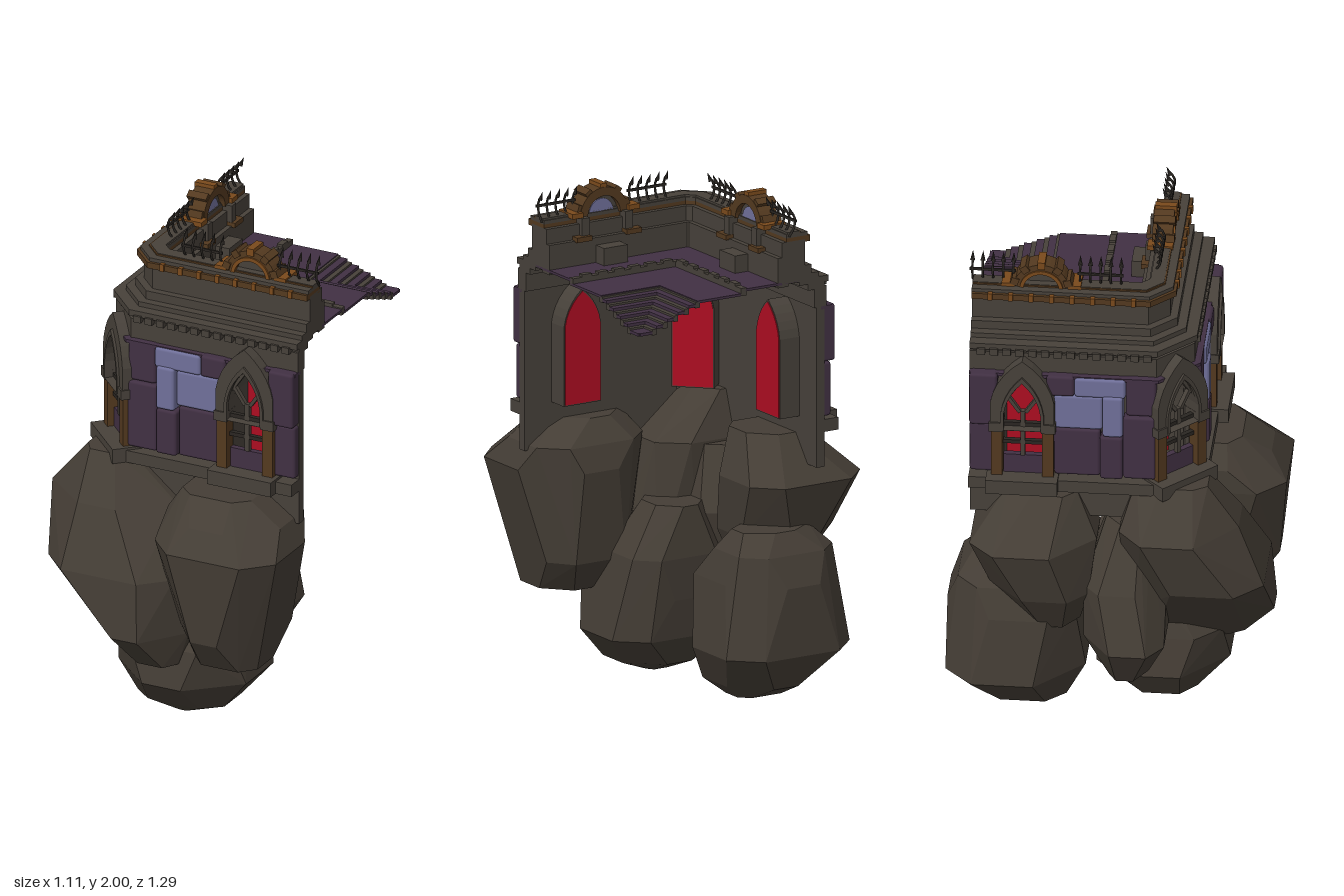
import * as THREE from 'three';
import { ConvexGeometry } from 'three/addons/geometries/ConvexGeometry.js';
import { RoundedBoxGeometry } from 'three/addons/geometries/RoundedBoxGeometry.js';

const mat = (name, color) => Object.assign(new THREE.MeshStandardMaterial({ color }), { name });
const M = {
  rock: mat('rock', 0x443d35), stone: mat('stone', 0x47413a), purple: mat('purple stone', 0x413043),
  lilac: mat('lilac stone', 0x70709a), red: mat('red glass', 0xac0d21), wood: mat('brown wood', 0x53391f),
  trim: mat('bronze trim', 0x7a4a1c), iron: mat('dark iron', 0x2a2622),
};
const END = 0.542; // where both wings are cut off

function add(parent, name, geometry, material, x = 0, y = 0, z = 0) {
  const mesh = new THREE.Mesh(geometry, material);
  mesh.name = name;
  mesh.position.set(x, y, z);
  parent.add(mesh);
  return mesh;
}
// Box given by its limits
function box(parent, name, material, x0, x1, y0, y1, z0, z1) {
  return add(parent, name, new THREE.BoxGeometry(x1 - x0, y1 - y0, z1 - z0), material,
    (x0 + x1) / 2, (y0 + y1) / 2, (z0 + z1) / 2);
}

// Course that follows both wings and the cut corner, between two offsets from the centre
function band(parent, name, material, dIn, dOut, y0, y1) {
  const corner = d => Math.min(0.52 + (d - 0.33) * Math.SQRT2, 2 * d);
  const line = d => [[END, d], [d - corner(d), d], [-d, corner(d) - d], [-d, -END]];
  const pts = [...line(dOut), ...line(dIn).reverse()].map(([x, z]) => new THREE.Vector2(x, -z));
  const g = new THREE.ExtrudeGeometry(new THREE.Shape(pts), { depth: y1 - y0, bevelEnabled: false });
  return add(parent, name, g.rotateX(-Math.PI / 2), material, 0, y0, 0);
}

// Pointed arch outline
function arch(Type, cx, w, y0, spring, top) {
  const p = new Type(), h = w / 2;
  p.moveTo(cx - h, y0);
  p.lineTo(cx + h, y0);
  p.lineTo(cx + h, spring);
  p.quadraticCurveTo(cx + h * 0.85, spring + (top - spring) * 0.6, cx, top);
  p.quadraticCurveTo(cx - h * 0.85, spring + (top - spring) * 0.6, cx - h, spring);
  p.closePath();
  return p;
}
const extrude = (shape, depth) => new THREE.ExtrudeGeometry(shape, { depth, bevelEnabled: false, curveSegments: 5 });
function pierced(outer, hole, depth) {
  outer.holes.push(hole);
  return extrude(outer, depth);
}

// Wall panel with a window opening
function wallPanel(parent, x0, x1, cx) {
  const s = new THREE.Shape([[x0, 0.92], [x1, 0.92], [x1, 1.6], [x0, 1.6]].map(p => new THREE.Vector2(...p)));
  add(parent, 'wall', pierced(s, arch(THREE.Path, cx, 0.15, 1.11, 1.42, 1.55), 0.035), M.stone, 0, 0, 0.28);
}

// Gothic window: niche, glass, frame, posts and tracery
function windowUnit(parent, cx) {
  const g = new THREE.Group();
  g.name = 'window';
  g.position.x = cx;
  parent.add(g);
  add(g, 'niche', pierced(arch(THREE.Shape, 0, 0.17, 1.1, 1.42, 1.565),
    arch(THREE.Path, 0, 0.15, 1.11, 1.42, 1.55), 0.13), M.stone, 0, 0, 0.19);
  add(g, 'glass', extrude(arch(THREE.Shape, 0, 0.162, 1.105, 1.42, 1.555), 0.008), M.red, 0, 0, 0.187);
  add(g, 'archFrame', pierced(arch(THREE.Shape, 0, 0.25, 1.33, 1.45, 1.64),
    arch(THREE.Path, 0, 0.15, 1.331, 1.4, 1.55), 0.065), M.stone, 0, 0, 0.31);
  add(g, 'archRib', pierced(arch(THREE.Shape, 0, 0.17, 1.33, 1.4, 1.57),
    arch(THREE.Path, 0, 0.145, 1.331, 1.4, 1.545), 0.02), M.stone, 0, 0, 0.365);
  for (const s of [-1, 1]) {
    box(g, 'post', M.wood, s * 0.1 - 0.022, s * 0.1 + 0.022, 1.11, 1.33, 0.31, 0.372);
    box(g, 'postCap', M.stone, s * 0.102 - 0.028, s * 0.102 + 0.028, 1.32, 1.36, 0.3, 0.382);
    // Small lancets under a diamond light
    for (const t of [-1, 1]) {
      const bar = box(g, 'tracery', M.stone, -0.007, 0.007, -0.05, 0.05, 0.33, 0.35);
      bar.position.set(s * 0.04, t > 0 ? 1.49 : 1.435, bar.position.z);
      bar.rotation.z = s * t * 0.6;
    }
  }
  box(g, 'mullion', M.stone, -0.009, 0.009, 1.2, 1.4, 0.33, 0.352);
  for (const y of [1.26, 1.34]) box(g, 'crossBar', M.iron, -0.076, 0.076, y - 0.008, y + 0.008, 0.33, 0.35);
  box(g, 'lowerPanel', M.purple, -0.076, 0.076, 1.11, 1.2, 0.32, 0.345);
  box(g, 'sill', M.stone, -0.14, 0.14, 1.06, 1.12, 0.3, 0.42);
}

// Crest on the parapet: half ring with raised blocks
function crest(parent, cx) {
  const g = new THREE.Group();
  g.name = 'crest';
  g.position.set(cx, 1.87, 0);
  parent.add(g);
  const half = (r0, r1, depth) => {
    const s = new THREE.Shape();
    s.absarc(0, 0, r1, 0, Math.PI, false);
    if (r0) s.absarc(0, 0, r0, Math.PI, 0, true);
    return new THREE.ExtrudeGeometry(s, { depth, bevelEnabled: false, curveSegments: 10 });
  };
  add(g, 'crestRing', half(0.075, 0.11, 0.08), M.wood, 0, 0, 0.125);
  add(g, 'crestRim', half(0.07, 0.085, 0.02), M.trim, 0, 0, 0.192);
  add(g, 'crestPanel', half(0, 0.08, 0.02), M.stone, 0, 0, 0.15);
  add(g, 'crestLight', half(0, 0.055, 0.008), M.lilac, 0, 0.005, 0.145);
  for (let i = 0; i < 5; i++) {
    const a = Math.PI * (0.1 + 0.2 * i);
    add(g, 'crestBlock', new THREE.BoxGeometry(0.03, 0.03, 0.085), i === 2 ? M.trim : M.wood,
      Math.cos(a) * 0.109, Math.sin(a) * 0.109, 0.17).rotation.z = a - Math.PI / 2;
  }
  for (const s of [-1, 1]) {
    box(g, 'crestFoot', M.trim, s * 0.13 - 0.025, s * 0.13 + 0.025, 0.005, 0.025, 0.11, 0.21);
    box(g, 'crestLeg', M.stone, s * 0.1 - 0.018, s * 0.1 + 0.018, -0.08, 0.005, 0.1, 0.14);
    box(g, 'crestBase', M.wood, s * 0.115 - 0.035, s * 0.115 + 0.035, -0.085, -0.065, 0.085, 0.14);
  }
  box(g, 'innerStep', M.stone, -0.055, 0.055, -0.19, -0.11, 0.04, 0.11);
}

// Railing of curved spikes between two positions
function railing(parent, a, b) {
  const curve = new THREE.CatmullRomCurve3([[0.15, 1.87], [0.175, 1.91], [0.175, 1.95], [0.155, 1.975]]
    .map(([z, y]) => new THREE.Vector3(0, y, z)));
  const n = 5;
  for (let i = 0; i < n; i++) {
    const x = a + (b - a) * i / (n - 1);
    add(parent, 'spike', new THREE.TubeGeometry(curve, 6, 0.005, 5), M.iron, x);
    add(parent, 'spikeTip', new THREE.ConeGeometry(0.01, 0.04, 4), M.iron, x, 1.98, 0.153).rotation.x = -0.4;
  }
  box(parent, 'rail', M.iron, Math.min(a, b) - 0.01, Math.max(a, b) + 0.01, 1.928, 1.938, 0.172, 0.18);
}

// Facing stones: x0, x1, y0, y1, colour
const STONES = [
  [-0.19, -0.07, 1.4, 1.57, 'purple'], [-0.19, -0.06, 1.12, 1.4, 'purple'], [-0.06, 0.03, 1.12, 1.31, 'purple'],
  [0.03, 0.21, 1.12, 1.33, 'purple'], [0.13, 0.24, 1.48, 1.57, 'purple'], [0.43, 0.54, 1.34, 1.57, 'purple'],
  [0.43, 0.54, 1.12, 1.34, 'purple'], [-0.07, 0.13, 1.48, 1.565, 'lilac'], [-0.06, 0.02, 1.31, 1.49, 'lilac'],
  [0.02, 0.21, 1.33, 1.48, 'lilac'],
];

// One straight wing; side -1 mirrors positions along its length
function wing(side) {
  const g = new THREE.Group();
  g.name = side > 0 ? 'frontWing' : 'sideWing';
  const span = (a, b) => side > 0 ? [a, b] : [-b, -a];
  wallPanel(g, ...span(-0.18, END), side * 0.332);
  windowUnit(g, side * 0.332);
  crest(g, side * 0.273);
  railing(g, side * -0.035, side * 0.125);
  railing(g, side * 0.385, side * 0.545);
  STONES.forEach(([a, b, y0, y1, c], i) => {
    const depth = 0.045 + 0.01 * (i % 3);
    add(g, 'facingStone', new RoundedBoxGeometry(b - a, y1 - y0, depth, 1, 0.012), M[c],
      side * (a + b) / 2, (y0 + y1) / 2, 0.305 + depth / 2);
  });
  for (let s = -0.17; s < 0.5; s += 0.05) box(g, 'dentil', M.stone, ...span(s, s + 0.032), 1.645, 1.672, 0.31, 0.345);
  for (let s = -0.1; s < 0.52; s += 0.08) box(g, 'stud', M.trim, ...span(s, s + 0.018), 1.84, 1.87, 0.235, 0.256);
  for (let s = 0.08; s < 0.5; s += 0.075) box(g, 'stepBlock', M.stone, ...span(s, s + 0.045), 1.67, 1.705, -0.07, -0.045);
  return g;
}

// Chunky boulder: the hull of chamfered cross-sections [y, x0, x1, z0, z1]
function boulder(parent, levels) {
  const pts = [];
  levels.forEach(([y, x0, x1, z0, z1], i) => {
    for (let k = 0; k < 8; k++) {
      const c = 0.3 + 0.3 * ((i + (k >> 1)) % 2); // corners cut more and less in turn
      const sx = k & 4 ? 1 : -1, sz = k & 2 ? 1 : -1;
      const [u, v] = k & 1 ? [sx, sz * c] : [sx * c, sz];
      pts.push(new THREE.Vector3((x0 + x1 + u * (x1 - x0)) / 2, y, (z0 + z1 + v * (z1 - z0)) / 2));
    }
  });
  add(parent, 'boulder', new ConvexGeometry(pts), M.rock);
}

export function createModel() {
  const model = new THREE.Group();
  model.name = 'cornerTower';
  const tower = new THREE.Group();
  tower.name = 'tower';
  tower.position.set(-0.009, 0, -0.009);
  model.add(tower);

  // Wings and the cut corner between them
  const side = wing(-1);
  side.rotation.y = -Math.PI / 2;
  const corner = new THREE.Group();
  corner.name = 'cornerFace';
  corner.rotation.y = -Math.PI / 4;
  corner.position.set(-0.023, 0, 0.023);
  wallPanel(corner, -0.09, 0.09, 0);
  windowUnit(corner, 0);
  tower.add(wing(1), side, corner);

  // Courses from ledge to parapet
  band(tower, 'ledge', M.stone, 0.28, 0.38, 1.06, 1.11);
  band(tower, 'stoneCourse', M.purple, 0.3, 0.35, 1.555, 1.568);
  band(tower, 'frieze', M.stone, 0.27, 0.325, 1.565, 1.65);
  band(tower, 'cornice', M.stone, 0.2, 0.335, 1.665, 1.69);
  band(tower, 'corniceBase', M.stone, 0.24, 0.315, 1.64, 1.67);
  band(tower, 'corniceStep', M.stone, 0.15, 0.29, 1.69, 1.71);
  band(tower, 'corniceTop', M.stone, 0.12, 0.255, 1.71, 1.745);
  band(tower, 'parapet', M.stone, 0.12, 0.225, 1.68, 1.85);
  band(tower, 'parapetTrim', M.wood, 0.14, 0.25, 1.84, 1.865);
  band(tower, 'parapetCap', M.stone, 0.14, 0.238, 1.865, 1.88);
  band(tower, 'parapetRidge', M.stone, 0.145, 0.2, 1.88, 1.888);
  band(tower, 'ridgeLine', M.wood, 0.2, 0.206, 1.875, 1.886);
  band(tower, 'innerLedge', M.stone, 0.1, 0.15, 1.67, 1.79);

  // Thin roof terrace stepping down to the inner corner
  band(tower, 'terrace', M.purple, -0.05, 0.22, 1.68, 1.69);
  band(tower, 'terraceKerb', M.stone, -0.07, -0.045, 1.664, 1.695);
  band(tower, 'lowerTerrace', M.purple, -0.27, -0.05, 1.664, 1.674);
  [0.26, 0.31, 0.36, 0.41, 0.46].forEach((t, i) => {
    const y = 1.67 - i * 0.02;
    band(tower, 'stairEdge', M.stone, -t - 0.02, -t, y - 0.024, y);
    band(tower, 'stairTread', M.purple, i < 4 ? -t - 0.05 : -0.535, -t - 0.02, y - 0.02, y - 0.008);
  });

  // Boulders under the walls
  const rocks = new THREE.Group();
  rocks.name = 'boulders';
  model.add(rocks);
  boulder(rocks, [[1.09, -0.38, -0.2, 0.1, 0.38], [0.91, -0.53, 0.02, 0.04, 0.5],
    [0.66, -0.47, 0.08, 0.05, 0.6], [0.42, -0.26, 0.115, 0.08, 0.62], [0.28, -0.11, 0.07, 0.2, 0.5]]);
  boulder(rocks, [[1.03, 0.08, 0.38, 0.2, 0.47], [0.94, 0.02, 0.51, 0.13, 0.58], [0.84, 0.02, 0.55, 0.1, 0.645],
    [0.47, 0.08, 0.46, 0.13, 0.61], [0.34, 0.16, 0.43, 0.22, 0.52]]);
  boulder(rocks, [[0.7, -0.12, 0.1, -0.08, 0.15], [0.5, -0.2, 0.22, -0.1, 0.3], [0.33, -0.25, 0.24, -0.09, 0.42],
    [0.17, -0.28, 0.28, -0.07, 0.445], [0.05, -0.2, 0.18, 0, 0.32], [0, -0.05, 0.05, 0.12, 0.26]]);
  boulder(rocks, [[0.68, -0.3, 0, -0.54, -0.35], [0.6, -0.38, 0.05, -0.6, -0.2], [0.48, -0.42, 0.08, -0.645, -0.14],
    [0.2, -0.45, 0.12, -0.645, -0.105], [0.06, -0.32, 0.05, -0.57, -0.18], [0.01, -0.22, 0, -0.47, -0.28]]);
  boulder(rocks, [[1.03, -0.38, -0.12, -0.4, -0.13], [0.85, -0.56, -0.05, -0.54, -0.05],
    [0.62, -0.5, -0.08, -0.47, -0.08], [0.45, -0.4, -0.15, -0.3, -0.12]]);
  boulder(rocks, [[0.9, -0.35, -0.15, -0.02, 0.15], [0.65, -0.48, -0.08, -0.1, 0.22],
    [0.42, -0.555, -0.1, -0.1, 0.22], [0.25, -0.45, -0.2, 0, 0.15]]);
  return model;
}
